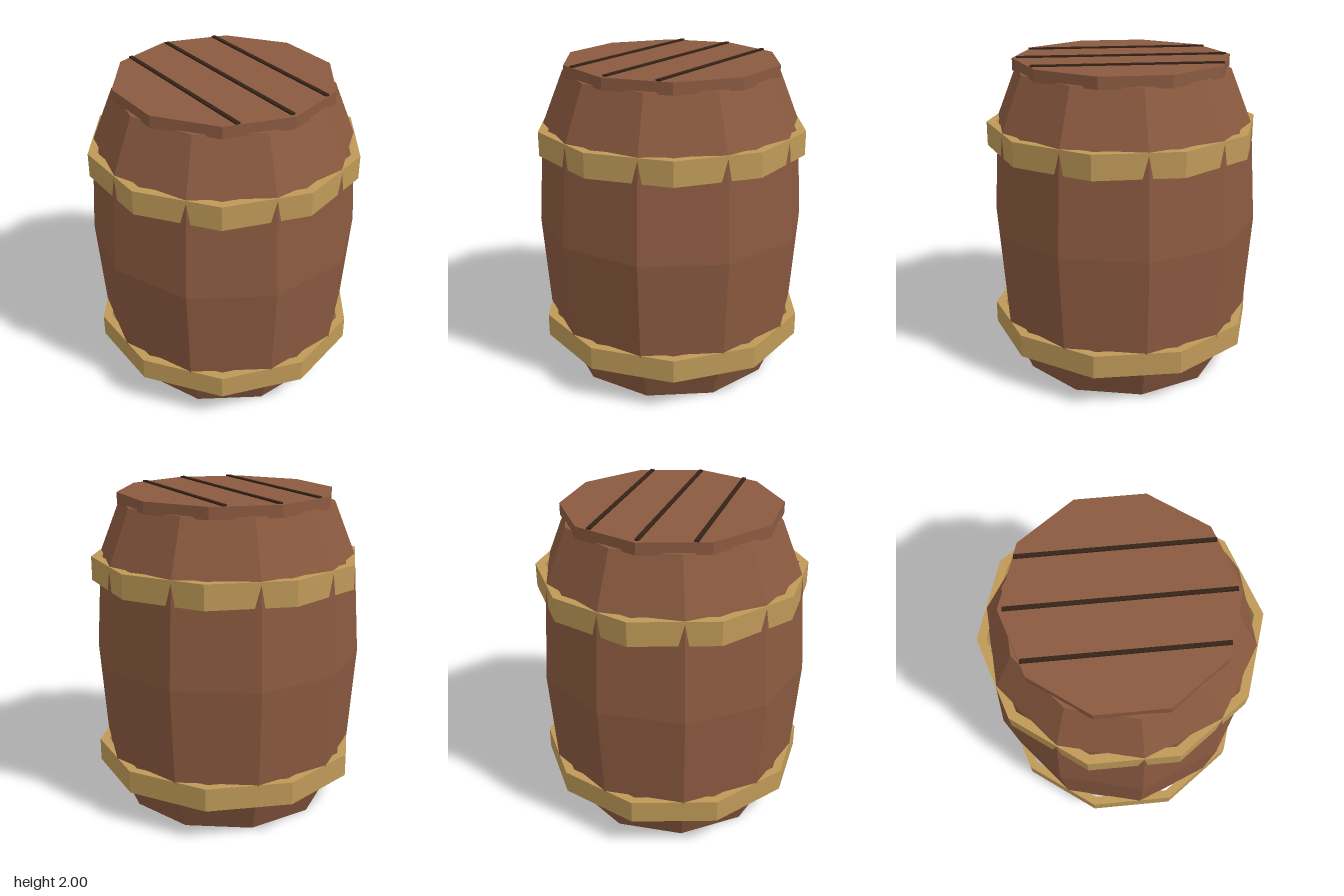
import * as THREE from 'three';

const SIDES = 10;

function makeMaterial(name, color) {
  const material = new THREE.MeshStandardMaterial({ color, flatShading: true });
  material.name = name;
  return material;
}

// Ten-sided turned part from [radius, y] points, running up the outside.
function turned(name, profile, startDegrees, material) {
  const points = profile.map(([r, y]) => new THREE.Vector2(r, y));
  const geometry = new THREE.LatheGeometry(points, SIDES, THREE.MathUtils.degToRad(startDegrees));
  const mesh = new THREE.Mesh(geometry, material);
  mesh.name = name;
  return mesh;
}

// Open ring with a square section
function hoop(name, bottom, top, material) {
  const outer = 0.847, inner = 0.79;
  return turned(name, [[outer, bottom], [outer, top], [inner, top], [inner, bottom], [outer, bottom]], 18, material);
}

export function createModel() {
  const wood = makeMaterial('brown wood', 0x8b5a40);
  const brass = makeMaterial('dull brass', 0xbf9a58);
  const dark = makeMaterial('dark gap', 0x352318);

  const barrel = new THREE.Group();
  barrel.name = 'barrel';

  // Bulging body, turned a little against the hoops so its corners poke through
  barrel.add(turned('body', [
    [0, 0], [0.67, 0], [0.807, 0.34], [0.85, 0.965], [0.807, 1.59], [0.67, 1.93], [0, 1.93],
  ], 4, wood));

  // Hoops
  barrel.add(hoop('lowerHoop', 0.22, 0.365, brass));
  barrel.add(hoop('upperHoop', 1.45, 1.6, brass));

  // Lid
  barrel.add(turned('lid', [[0, 1.917], [0.675, 1.917], [0.675, 1.99], [0, 1.99]], 18, wood));

  // Dark strips between the lid planks
  for (const [z, length] of [[-0.31, 1.14], [0, 1.295], [0.31, 1.14]]) {
    const strip = new THREE.Mesh(new THREE.BoxGeometry(length, 0.02, 0.025), dark);
    strip.position.set(0, 1.99, z);
    strip.name = 'lidStrip';
    barrel.add(strip);
  }

  return barrel;
}
